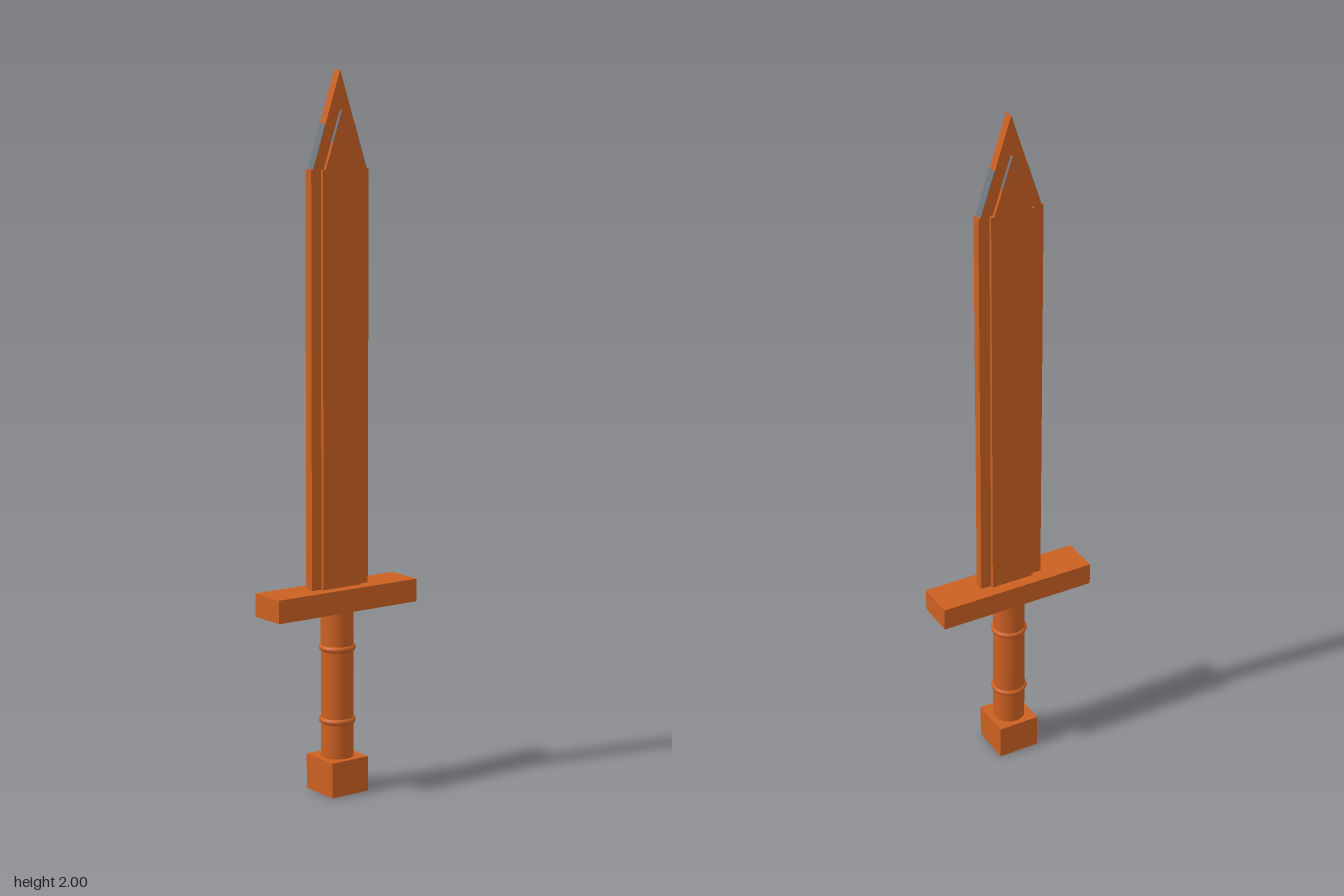
import * as THREE from 'three';

export function createModel() {
  const group = new THREE.Group();
  const orange = new THREE.MeshStandardMaterial({ color: 0xcc6022 });
  orange.name = 'burnt orange';
  const grey = new THREE.MeshStandardMaterial({ color: 0x6f767e });
  grey.name = 'steel grey';

  const add = (name, geometry, material, x, y, z) => {
    const mesh = new THREE.Mesh(geometry, material);
    mesh.name = name;
    mesh.position.set(x, y, z);
    group.add(mesh);
    return mesh;
  };

  // Pommel, grip and guard
  add('pommel', new THREE.BoxGeometry(0.123, 0.1, 0.123), orange, 0, 0.05, 0);
  add('grip', new THREE.CylinderGeometry(0.046, 0.046, 0.43, 32), orange, 0, 0.31, 0);
  for (const y of [0.205, 0.412]) {
    const ring = add('gripRing', new THREE.TorusGeometry(0.043, 0.009, 10, 32), orange, 0, y, 0);
    ring.rotation.x = Math.PI / 2;
  }
  add('guard', new THREE.BoxGeometry(0.472, 0.065, 0.113), orange, 0, 0.5525, 0);

  // Pointed slab with a small shoulder; part of each sloping edge is grey
  const slab = (name, half, neck, shoulderY, tipY, depth, greyFrom, greyTo) => {
    const shape = new THREE.Shape([
      [-half, 0.56], [half, 0.56], [half, shoulderY], [neck, shoulderY],
      [0, tipY], [-neck, shoulderY], [-half, shoulderY],
    ].map(([x, y]) => new THREE.Vector2(x, y)));
    const geometry = new THREE.ExtrudeGeometry(shape, { depth, bevelEnabled: false });
    add(name, geometry, orange, 0, 0, -depth / 2);

    const slope = (tipY - shoulderY) / neck;
    const length = Math.hypot(1, slope) * (greyFrom - greyTo);
    const midX = (greyFrom + greyTo) / 2;
    for (const side of [-1, 1]) {
      const plate = add(name + 'EdgePlate', new THREE.BoxGeometry(length, 0.002, depth),
        grey, side * midX, tipY - slope * midX, 0);
      plate.rotation.z = -side * Math.atan(slope);
    }
  };
  slab('blade', 0.096, 0.089, 1.735, 2.0, 0.027, 0.089, 0.048);
  slab('raisedCore', 0.064, 0.055, 1.735, 1.893, 0.046, 0.03, 0.001);

  return group;
}
